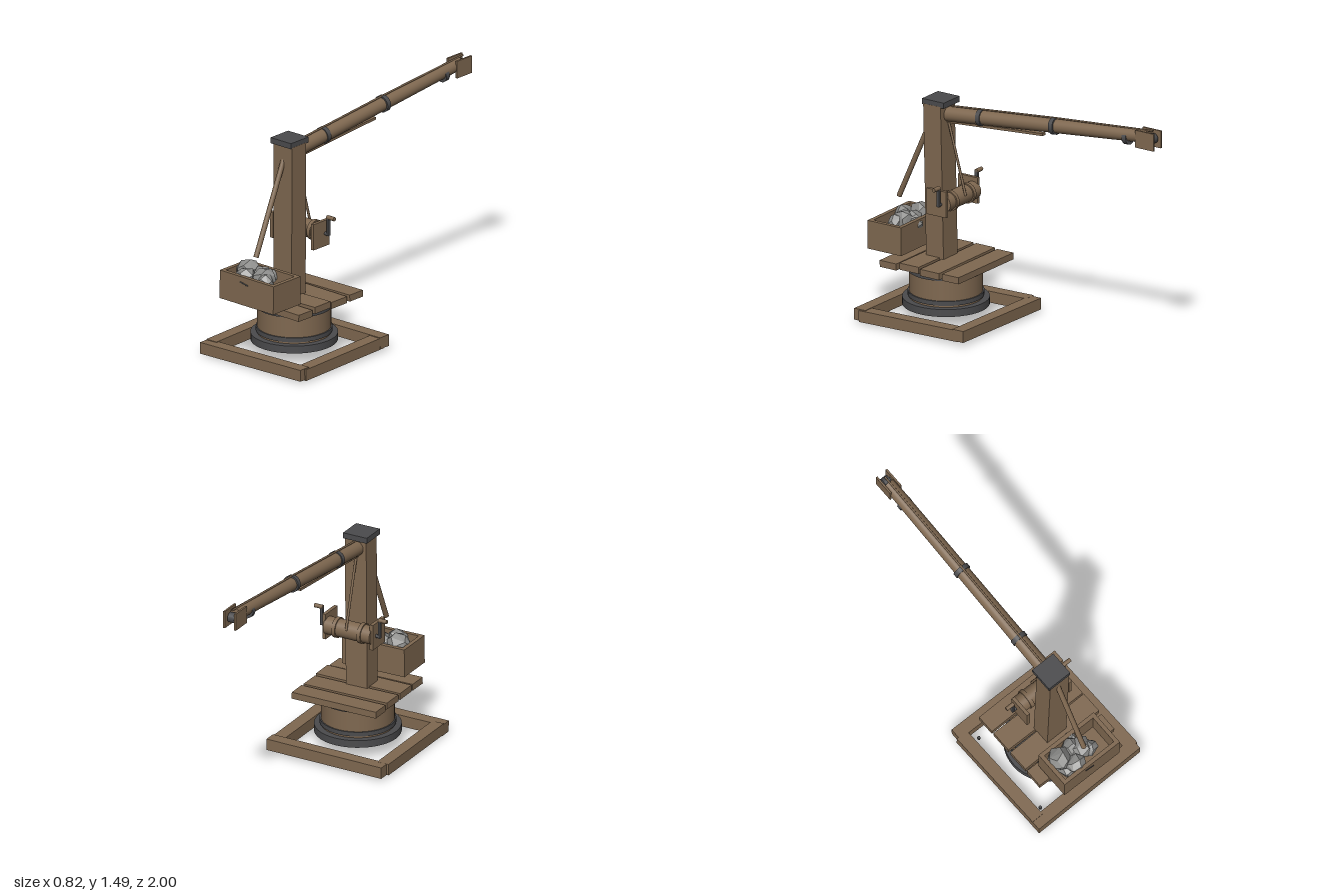
import * as THREE from 'three';
import { ConvexGeometry } from 'three/addons/geometries/ConvexGeometry.js';

const material = (name, color, flatShading = false) => {
  const m = new THREE.MeshStandardMaterial({ color, flatShading });
  m.name = name;
  return m;
};

export function createModel() {
  const crane = new THREE.Group();
  crane.name = 'crane';
  const wood = material('wood', 0x7f6850);
  const iron = material('iron', 0x4b4b4d);
  const stone = material('stone', 0x8c8c8a, true);

  const add = (name, geometry, mat, x = 0, y = 0, z = 0, parent = crane) => {
    const mesh = new THREE.Mesh(geometry, mat);
    mesh.name = name;
    mesh.position.set(x, y, z);
    parent.add(mesh);
    return mesh;
  };
  const box = (name, mat, size, pos, rot = [0, 0, 0], parent = crane) => {
    const mesh = add(name, new THREE.BoxGeometry(...size), mat, ...pos, parent);
    mesh.rotation.set(...rot);
    return mesh;
  };
  // Round bar between two points, with a radius at each end
  const bar = (name, mat, from, to, r0, r1 = r0, sides = 20, parent = crane) => {
    const a = new THREE.Vector3(...from), b = new THREE.Vector3(...to);
    const dir = b.clone().sub(a);
    const mesh = add(name, new THREE.CylinderGeometry(r1, r0, dir.length(), sides), mat, 0, 0, 0, parent);
    mesh.position.copy(a).add(b).multiplyScalar(0.5);
    mesh.quaternion.setFromUnitVectors(new THREE.Vector3(0, 1, 0), dir.normalize());
    return mesh;
  };
  const disc = (name, mat, r, y0, y1) =>
    add(name, new THREE.CylinderGeometry(r, r, y1 - y0, 40), mat, 0, (y0 + y1) / 2, 0.565);

  // Ground frame of slightly crooked beams
  box('frontBeam', wood, [0.8, 0.072, 0.08], [0, 0.046, 0.925], [0, 0.013, 0.014]);
  box('backBeam', wood, [0.8, 0.072, 0.08], [0, 0.058, 0.19], [0, -0.01, 0.01]);
  box('rightBeam', wood, [0.08, 0.072, 0.7], [-0.367, 0.05, 0.56], [0.014, 0.02, 0]);
  box('leftBeam', wood, [0.082, 0.072, 0.72], [0.362, 0.052, 0.56], [0.014, 0.02, 0]);
  for (const x of [-0.29, 0.29]) for (const z of [0.27, 0.85])
    add('peg', new THREE.CylinderGeometry(0.01, 0.01, 0.02, 8), iron, x, 0.012, z);

  // Turntable
  disc('turntableRing', iron, 0.265, 0.088, 0.135);
  disc('turntableDrum', wood, 0.224, 0.13, 0.335);
  disc('lowerBand', iron, 0.232, 0.147, 0.175);
  disc('upperBand', iron, 0.232, 0.305, 0.335);

  // Deck planks: z, depth, y, yaw, roll
  for (const [z, depth, y, yaw, roll] of [
    [0.33, 0.12, 0.365, 0.008, 0.006], [0.48, 0.14, 0.367, -0.006, -0.008],
    [0.636, 0.142, 0.372, 0.01, 0.008], [0.786, 0.122, 0.366, -0.008, -0.01],
  ]) box('deckPlank', wood, [0.58, 0.042, depth], [0, y, z], [0, yaw, roll]);

  // Mast with a slight lean, and its cap
  box('mast', wood, [0.148, 0.99, 0.128], [0, 0.866, 0.606], [0.012, 0, -0.015]);
  box('mastCap', iron, [0.165, 0.036, 0.16], [-0.002, 1.372, 0.605]);

  // Boom along -z
  const boomY = z => 1.297 + (0.55 - z) * 0.1;
  bar('boom', wood, [0, boomY(0.57), 0.57], [0, boomY(-0.93), -0.93], 0.047, 0.04, 28);
  for (const [z, r] of [[0.3, 0.052], [-0.24, 0.053], [-0.78, 0.046]]) {
    const y = boomY(z) - (z < -0.5 ? 0.016 : 0);
    bar('boomBand', iron, [0, y - 0.0015, z + 0.015], [0, y + 0.0015, z - 0.015], r, r, 28);
  }
  box('boomUnderstrip', wood, [0.03, 0.016, 0.71], [0, 1.279, 0.195], [0.077, 0, 0]);
  for (const s of [-1, 1])
    box('boomEndCheek', wood, [0.012, 0.11, 0.135], [s * 0.038, 1.43, -0.932]);
  bar('boomEndSheave', iron, [-0.022, 1.435, -0.955], [0.022, 1.435, -0.955], 0.032, 0.032, 20);
  bar('boomEndPin', iron, [-0.04, 1.435, -0.955], [0.04, 1.435, -0.955], 0.01, 0.01, 10);

  // Hoisting rope over the boom and down to the winch
  const ropePoints = [[0, 1.352, 0.52], [0, 1.428, -0.25], [0, 1.488, -0.965]];
  for (let i = 0; i < 2; i++) bar('hoistRope', wood, ropePoints[i], ropePoints[i + 1], 0.006, 0.006, 8);
  bar('winchRope', wood, [0, 1.265, 0.55], [0, 0.8, 0.42], 0.008, 0.008, 8);

  // Front strut above the counterweight
  bar('counterweightStrut', wood, [0, 1.265, 0.66], [0, 0.703, 0.911], 0.016, 0.016, 14);

  // Winch behind the mast
  const wy = 0.782, wz = 0.475;
  bar('winchDrum', wood, [-0.16, wy, wz], [0.16, wy, wz], 0.056, 0.056, 28);
  for (const s of [-1, 1]) {
    bar('winchCollar', wood, [s * 0.075, wy, wz], [s * 0.1, wy, wz], 0.064, 0.064, 28);
    box('winchBracket', wood, [0.022, 0.165, 0.145], [s * 0.164, 0.783, 0.513]);
    const crank = new THREE.Group();
    crank.name = 'crank';
    crane.add(crank);
    bar('crankAxle', iron, [s * 0.17, wy, wz + 0.005], [s * 0.206, wy, wz + 0.005], 0.011, 0.011, 12, crank);
    box('crankArm', iron, [0.014, 0.12, 0.02], [s * 0.2, 0.833, wz + 0.005], [0, 0, 0], crank);
    bar('crankHandle', wood, [s * 0.193, 0.89, wz + 0.005], [s * 0.25, 0.89, wz + 0.005], 0.013, 0.013, 12, crank);
  }

  // Counterweight box, open at the top
  const bin = new THREE.Group();
  bin.name = 'counterweightBox';
  bin.position.set(-0.003, 0.5, 0.87);
  bin.rotation.z = -0.008;
  crane.add(bin);
  box('boxFloor', wood, [0.43, 0.025, 0.246], [0, -0.077, 0], [0, 0, 0], bin);
  for (const s of [-1, 1]) {
    box('boxLongSide', wood, [0.432, 0.18, 0.026], [0, 0, s * 0.111], [0, 0, 0], bin);
    box('boxEnd', wood, [0.026, 0.18, 0.2], [s * 0.203, 0, 0], [0, 0, 0], bin);
  }
  bar('boxStaple', iron, [-0.055, 0.556, 0.995], [0.008, 0.543, 0.995], 0.004, 0.004, 8);

  // Stones in the box
  let seed = 11;
  const random = () => (seed = (seed * 16807) % 2147483647) / 2147483647;
  for (const [x, y, z, r] of [
    [-0.13, 0.573, 0.84, 0.08], [-0.07, 0.565, 0.925, 0.066], [0.02, 0.56, 0.86, 0.075],
    [0.055, 0.55, 0.89, 0.06], [-0.03, 0.565, 0.82, 0.06], [-0.11, 0.49, 0.88, 0.07],
    [0.01, 0.555, 0.775, 0.042],
  ]) {
    const points = [];
    for (let i = 0; i < 18; i++) {
      const h = 1 - (2 * i + 1) / 18, a = i * 2.4 + random() * 0.7, w = Math.sqrt(1 - h * h);
      points.push(new THREE.Vector3(w * Math.cos(a), h, w * Math.sin(a)).multiplyScalar(r * (0.88 + 0.16 * random())));
    }
    add('stone', new ConvexGeometry(points), stone, x, y, z);
  }
  return crane;
}
